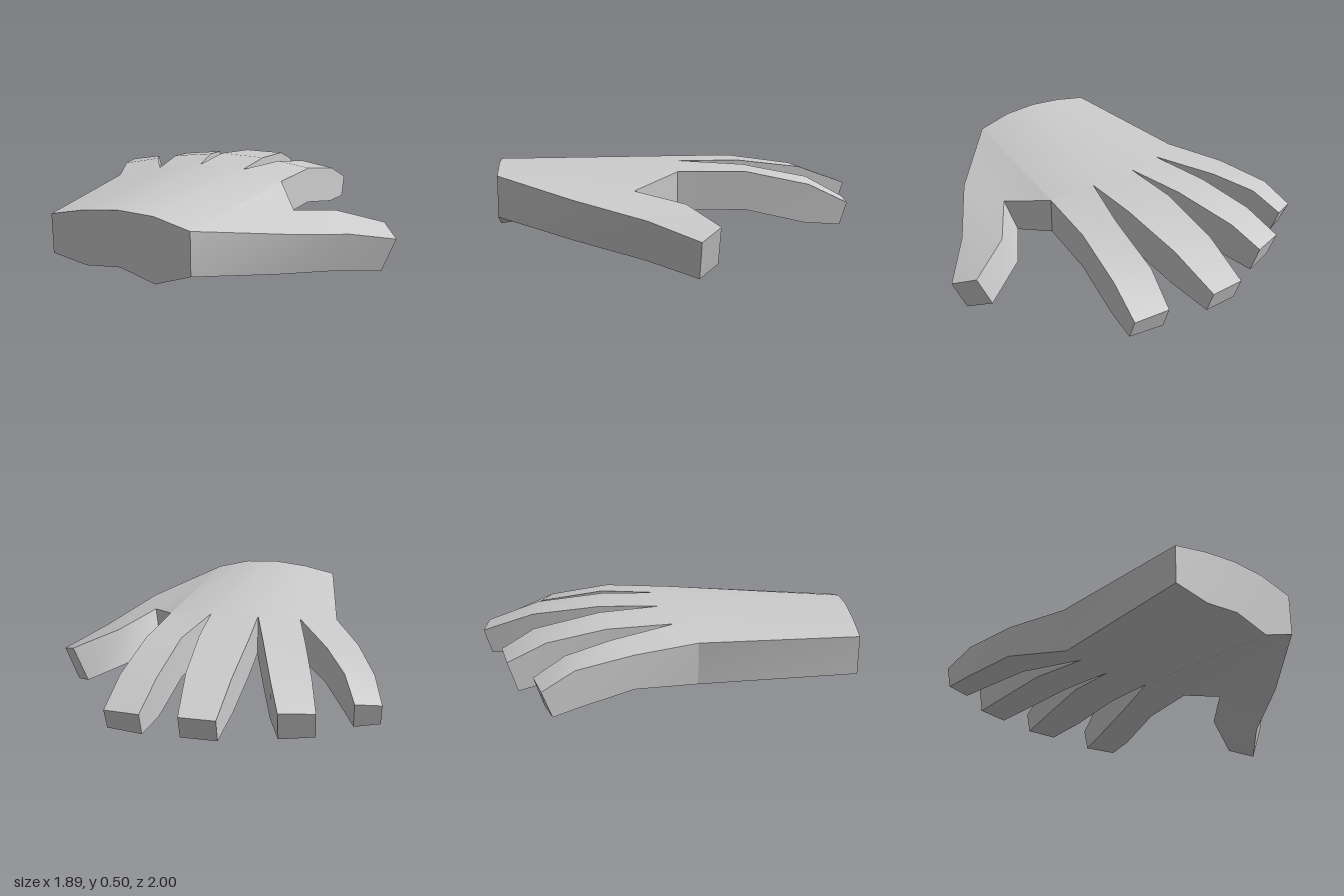
import * as THREE from 'three';
import { toCreasedNormals } from 'three/addons/utils/BufferGeometryUtils.js';

const material = new THREE.MeshStandardMaterial({ color: 0xcccccc });

// Skin a row of four-cornered sections; open lists the sides left out where parts join
function loft(name, sections, { start = false, end = false, open = [] } = {}) {
  const pos = [];
  const quad = (a, b, c, d) => pos.push(...a, ...b, ...c, ...a, ...c, ...d);
  for (let i = 0; i + 1 < sections.length; i++) {
    const s = sections[i], t = sections[i + 1];
    for (let k = 0; k < 4; k++) {
      const n = (k + 1) % 4;
      if (!open.includes(k)) quad(s[k], t[k], t[n], s[n]);
    }
  }
  if (start) quad(...sections[0]);
  if (end) quad(...[...sections.at(-1)].reverse());
  const geometry = new THREE.BufferGeometry();
  geometry.setAttribute('position', new THREE.Float32BufferAttribute(pos, 3));
  const mesh = new THREE.Mesh(toCreasedNormals(geometry, 0.5), material);
  mesh.name = name;
  return mesh;
}

// Palm columns from little finger to thumb: wrist top, knuckle top, knuckle bottom, wrist bottom
const columns = [
  [[-0.57, 0.44, 1], [-0.66, 0.44, 0.17], [-0.63, 0.205, 0.17], [-0.57, 0.235, 1]],
  [[-0.38, 0.48, 1], [-0.46, 0.475, 0.05], [-0.46, 0.25, 0.05], [-0.38, 0.195, 1]],
  [[-0.19, 0.5, 1], [-0.23, 0.5, -0.02], [-0.23, 0.27, -0.02], [-0.19, 0.21, 1]],
  [[0, 0.49, 1], [0.04, 0.495, -0.02], [0.04, 0.27, -0.02], [0, 0.15, 1]],
  [[0.19, 0.44, 1], [0.29, 0.46, 0.03], [0.29, 0.25, 0.03], [0.19, 0.215, 1]],
];

// Finger joints: right x, y, z; left x, y, z; underside y; how far the underside is drawn back
const fingers = {
  littleFinger: [
    [-0.64, 0.45, -0.27, -0.8, 0.43, -0.15, 0.25, 0],
    [-0.75, 0.41, -0.49, -0.9, 0.39, -0.43, 0.2, 0.02],
    [-0.815, 0.32, -0.645, -0.95, 0.3, -0.59, 0.17, 0.05],
  ],
  ringFinger: [
    [-0.31, 0.49, -0.35, -0.53, 0.47, -0.3, 0.26, 0],
    [-0.4, 0.43, -0.69, -0.595, 0.42, -0.6, 0.21, 0.02],
    [-0.46, 0.34, -0.855, -0.64, 0.33, -0.8, 0.175, 0.05],
  ],
  middleFinger: [
    [0.035, 0.495, -0.35, -0.235, 0.5, -0.35, 0.28, 0],
    [0.02, 0.45, -0.72, -0.215, 0.45, -0.72, 0.24, 0.02],
    [-0.005, 0.35, -1, -0.19, 0.35, -1, 0.22, 0.04],
  ],
  indexFinger: [
    [0.33, 0.46, -0.34, 0.13, 0.48, -0.36, 0.25, 0],
    [0.375, 0.39, -0.68, 0.17, 0.41, -0.72, 0.18, 0.02],
    [0.4, 0.29, -0.89, 0.21, 0.3, -0.92, 0.17, 0.04],
  ],
};

export function createModel() {
  const hand = new THREE.Group();
  hand.name = 'hand';
  hand.add(loft('palm', columns, { start: true, open: [1] }));

  // Each finger grows from two neighbouring palm columns
  Object.entries(fingers).forEach(([name, joints], i) => {
    const left = columns[i], right = columns[i + 1];
    const root = [right[1], left[1], left[2], right[2]];
    const rings = joints.map(([rx, ry, rz, lx, ly, lz, low, back]) => [
      [rx, ry, rz], [lx, ly, lz], [lx, low, lz + back], [rx, low, rz + back],
    ]);
    hand.add(loft(name, [root, ...rings], { end: true }));
  });

  // Thumb and its web: outer top, inner top, inner bottom, outer bottom
  const thumb = [
    columns[4],
    [[0.54, 0.35, 0.6], [0.45, 0.38, 0.28], [0.41, 0.21, 0.21], [0.47, 0.13, 0.6]],
    [[0.75, 0.27, 0.24], [0.61, 0.33, 0.03], [0.52, 0.14, 0.03], [0.67, 0.055, 0.24]],
    [[0.945, 0.195, 0], [0.85, 0.25, -0.11], [0.77, 0.05, -0.11], [0.87, 0, 0]],
  ];
  hand.add(loft('thumb', thumb, { end: true, open: [] }));
  return hand;
}
